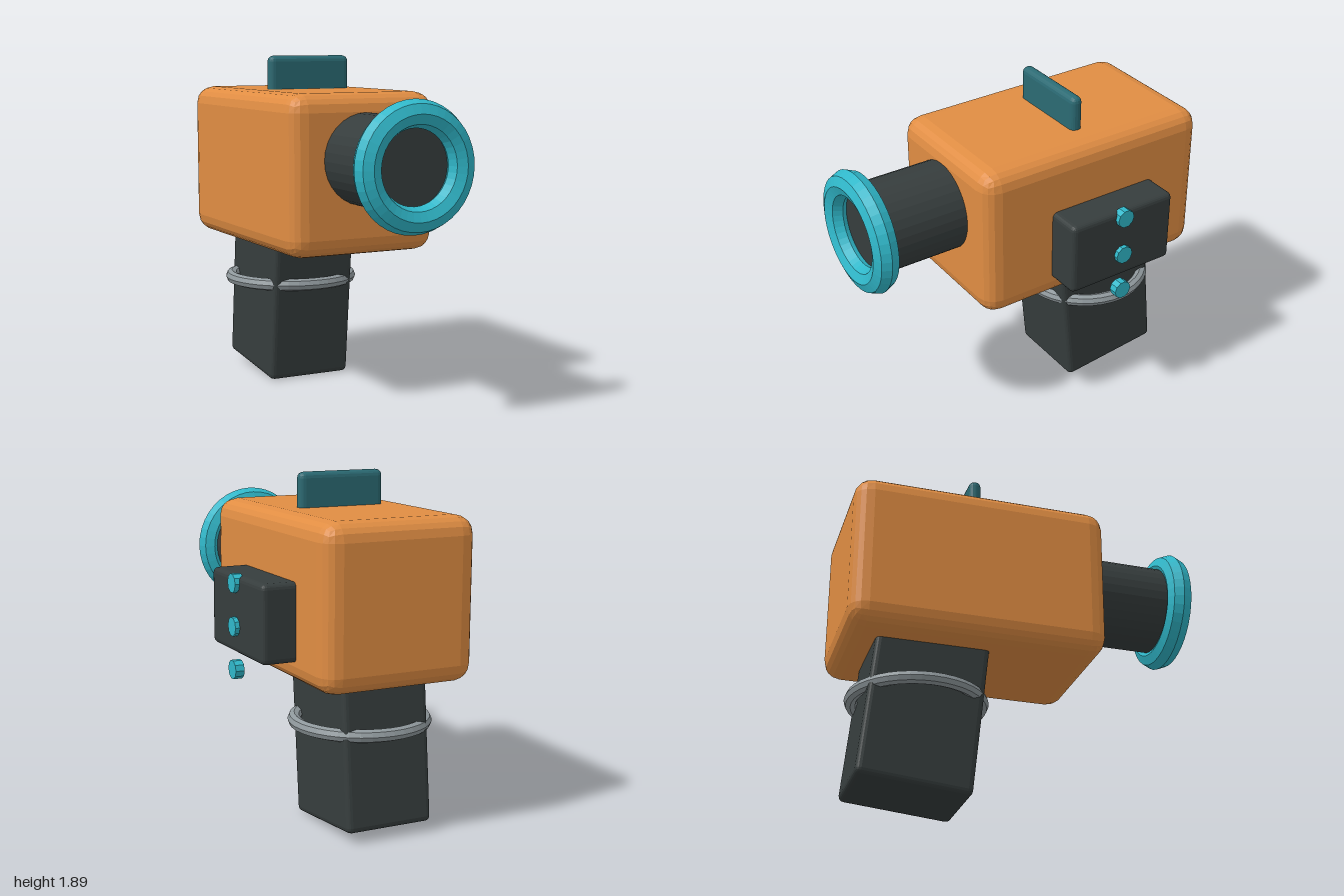
import * as THREE from 'three';
import { RoundedBoxGeometry } from 'three/addons/geometries/RoundedBoxGeometry.js';

const paint = (name, color) => {
  const m = new THREE.MeshStandardMaterial({ color, flatShading: true });
  m.name = name;
  return m;
};

export function createModel() {
  const orange = paint('orange', 0xe08d43);
  const charcoal = paint('charcoal', 0x363d3d);
  const teal = paint('teal', 0x30b8ca);
  const darkTeal = paint('dark teal', 0x2b6a73);
  const steel = paint('steel', 0x8f989c);

  const model = new THREE.Group();
  const add = (name, geometry, material, x, y, z) => {
    const mesh = new THREE.Mesh(geometry, material);
    mesh.name = name;
    mesh.position.set(x, y, z);
    model.add(mesh);
    return mesh;
  };
  const axisX = -0.11; // centre line of body, barrel and grip

  // Main housing
  add('body', new RoundedBoxGeometry(0.88, 0.875, 1.42, 2, 0.1), orange, axisX, 1.265, -0.29);

  // Barrel with its muzzle ring
  add('barrel', new THREE.CylinderGeometry(0.25, 0.25, 0.56, 32).rotateX(Math.PI / 2),
    charcoal, axisX, 1.35, 0.62);
  add('muzzleRing', new THREE.TorusGeometry(0.27, 0.073, 8, 40), teal, axisX, 1.35, 0.926);

  // Tilted grip with a level guard ring around it
  const grip = add('grip', new RoundedBoxGeometry(0.5, 0.95, 0.62, 2, 0.03),
    charcoal, axisX, 0.506, -0.543);
  grip.rotation.x = 0.1;
  add('gripRing', new THREE.TorusGeometry(0.354, 0.036, 8, 40).rotateX(Math.PI / 2),
    steel, axisX, 0.575, -0.54);

  // Sight fin on top
  add('sightFin', new RoundedBoxGeometry(0.5, 0.25, 0.07, 2, 0.033), darkTeal, axisX, 1.767, -0.29);

  // Side panel and its column of buttons
  add('sidePanel', new RoundedBoxGeometry(0.24, 0.42, 0.67, 2, 0.03), charcoal, 0.4, 1.16, -0.333);
  for (const y of [1.33, 1.098, 0.866]) {
    add('button', new THREE.CylinderGeometry(0.052, 0.052, 0.05, 10).rotateZ(Math.PI / 2),
      teal, 0.52, y, -0.33);
  }
  return model;
}
